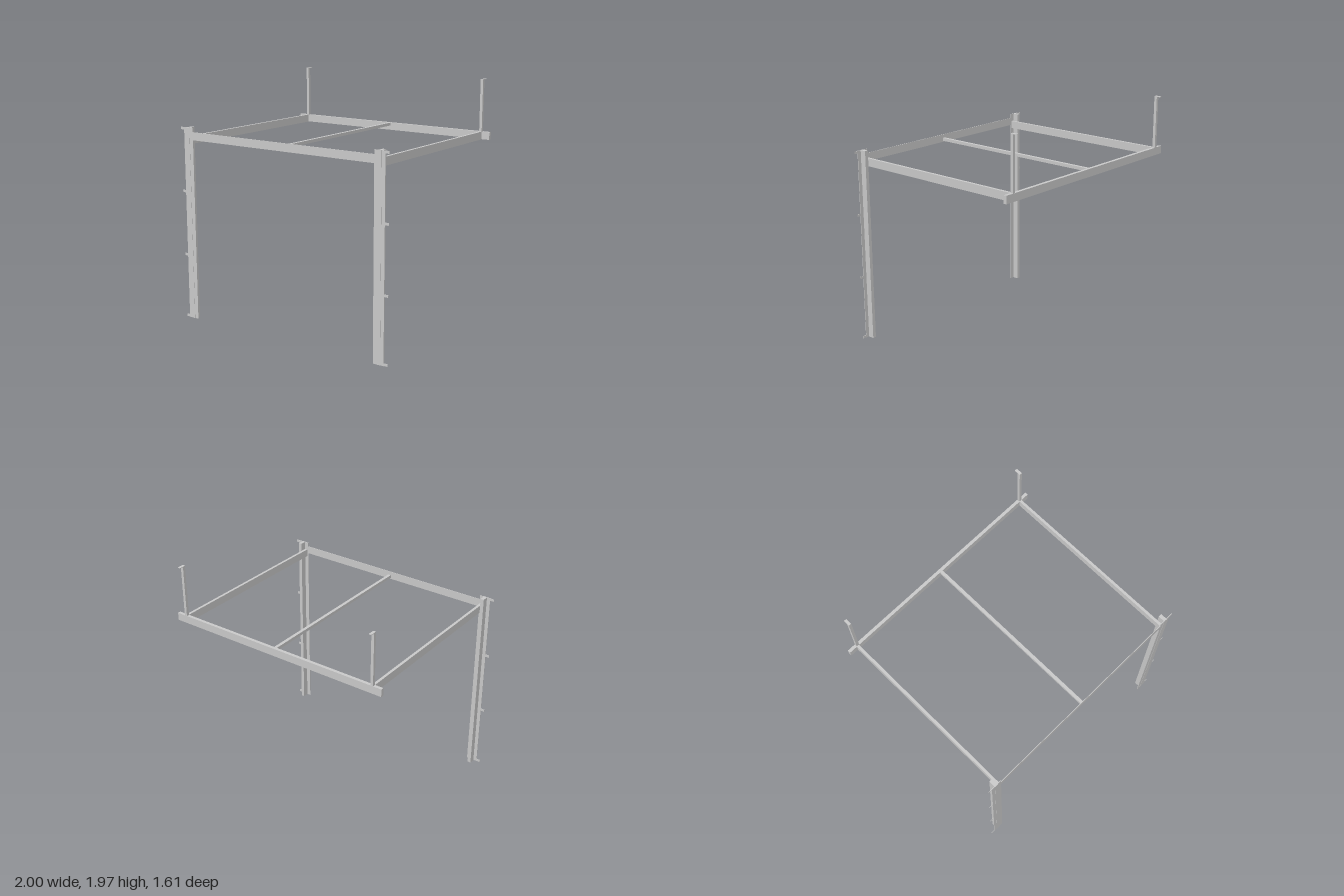
import * as THREE from 'three';

const material = new THREE.MeshStandardMaterial({ color: 0xcccccc, flatShading: true });

// Box given by its lower and upper corner
function bar(name, x0, x1, y0, y1, z0, z1) {
  const geometry = new THREE.BoxGeometry(Math.abs(x1 - x0), y1 - y0, z1 - z0);
  const mesh = new THREE.Mesh(geometry, material);
  mesh.position.set((x0 + x1) / 2, (y0 + y1) / 2, (z0 + z1) / 2);
  mesh.name = name;
  return mesh;
}

export function createModel() {
  const model = new THREE.Group();
  model.name = 'trackFrame';

  for (const s of [1, -1]) {
    const side = s > 0 ? 'left' : 'right';
    const add = (name, x0, x1, ...rest) => model.add(bar(side + name, s * x0, s * x1, ...rest));

    // Upright: two thin flanges either side of a deep rib
    add('PostInnerFlange', 0.873, 0.908, 0, 1.605, 0.797, 0.802);
    add('PostOuterFlange', 0.937, 0.967, 0, 1.605, 0.797, 0.802);
    add('PostRib', 0.908, 0.937, 0, 1.605, 0.745, 0.804);

    // Wall tabs up the outer edge of the upright
    for (const y of [0.012, 0.54, 1.075, 1.594]) {
      add('WallTab', 0.96, 1.0, y - 0.01, y + 0.01, 0.797, 0.801);
    }

    // Horizontal side rail
    add('SideRail', 0.882, 0.904, 1.475, 1.54, -0.75, 0.797);

    // Ceiling hanger with its fixing tab
    add('Hanger', 0.88, 0.903, 1.48, 1.97, -0.773, -0.75);
    add('HangerTab', 0.88, 0.903, 1.965, 1.97, -0.805, -0.765);
  }

  // Cross members
  model.add(bar('frontHeader', -0.9, 0.9, 1.505, 1.57, 0.797, 0.802));
  model.add(bar('rearBeam', -0.975, 0.975, 1.477, 1.54, -0.774, -0.748));
  model.add(bar('centreRail', -0.013, 0.013, 1.515, 1.54, -0.75, 0.797));

  return model;
}
